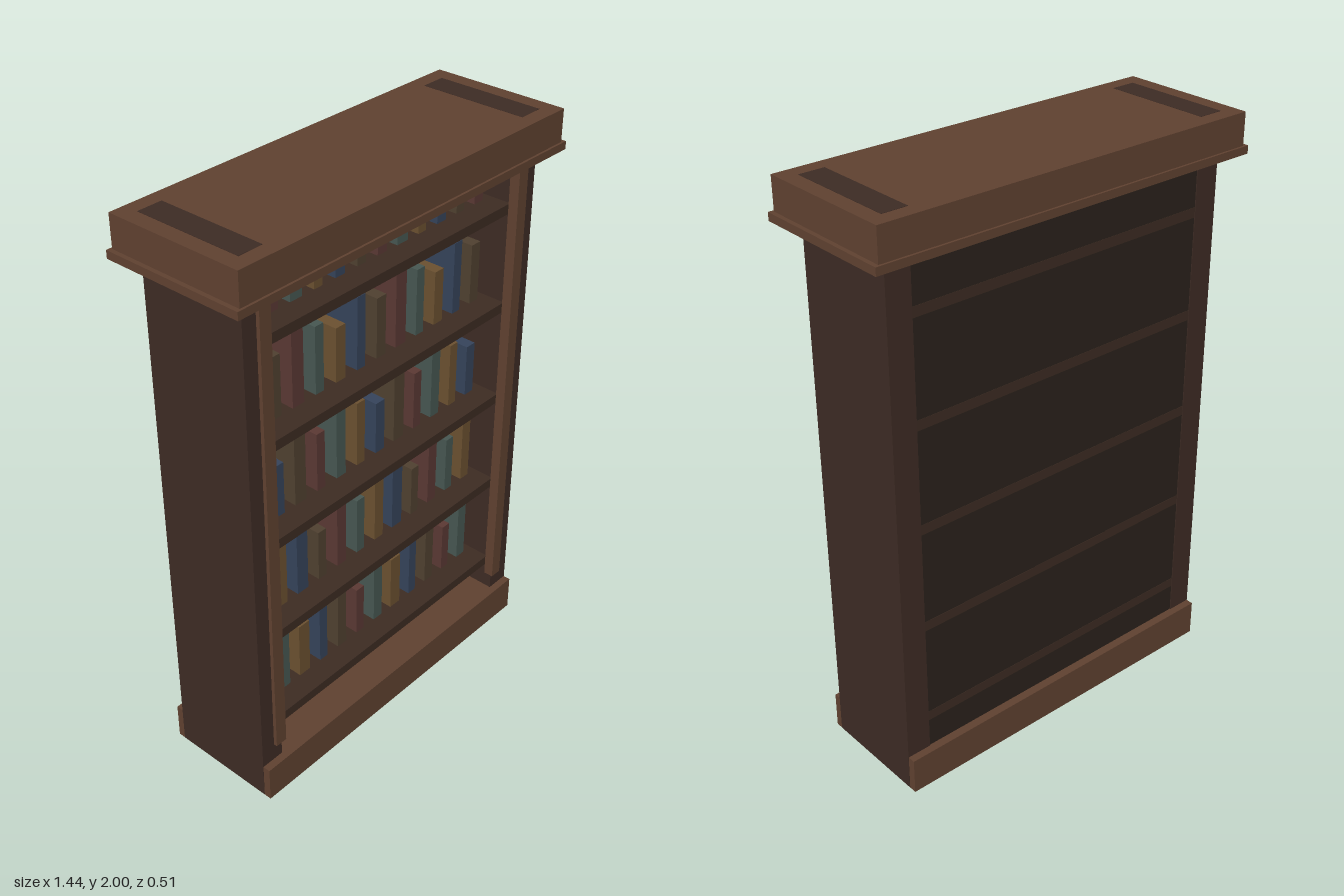
import * as THREE from 'three';

const WOOD = 0x5f4130, DARK = 0x3d2b24, SHELF = 0x3c2b22, BACK = 0x2a211b;
const BOOKS = [0x5a3833, 0x465651, 0x6a5030, 0x35435a, 0x4f4030];

const materials = new Map();
function material(color) {
  if (!materials.has(color)) materials.set(color, new THREE.MeshStandardMaterial({ color }));
  return materials.get(color);
}

// Box given by its extents along each axis
function box(parent, name, color, [x0, x1], [y0, y1], [z0, z1]) {
  const mesh = new THREE.Mesh(new THREE.BoxGeometry(x1 - x0, y1 - y0, z1 - z0), material(color));
  mesh.position.set((x0 + x1) / 2, (y0 + y1) / 2, (z0 + z1) / 2);
  mesh.name = name;
  parent.add(mesh);
}

export function createModel() {
  const model = new THREE.Group();
  model.name = 'bookcase';

  // Base and crown
  box(model, 'plinth', WOOD, [-0.649, 0.649], [0, 0.13], [-0.22, 0.22]);
  box(model, 'corniceMoulding', WOOD, [-0.72, 0.72], [1.863, 1.89], [-0.255, 0.255]);
  box(model, 'cornice', WOOD, [-0.705, 0.705], [1.89, 2], [-0.247, 0.247]);

  // Sides run the full height and show in the cornice top; trim covers their front edge
  for (const [side, s] of [['left', 1], ['right', -1]]) {
    const span = (a, b) => (s > 0 ? [a, b] : [-b, -a]);
    box(model, side + 'SidePanel', DARK, span(0.562, 0.65), [0.001, 2.001], [-0.193, 0.193]);
    box(model, side + 'FrontTrim', WOOD, span(0.553, 0.597), [0.195, 1.87], [0.17, 0.206]);
  }
  box(model, 'backPanel', BACK, [-0.562, 0.562], [0.1, 1.88], [-0.19, -0.165]);

  // Shelves, each with a row of books cycling through colours, heights and widths
  const heights = [0.19, 0.255, 0.213, 0.28, 0.235];
  const widths = [0.037, 0.042, 0.049, 0.036, 0.042];
  for (let row = 0; row < 5; row++) {
    const top = 0.27 + row * 0.359;
    box(model, 'shelf', SHELF, [-0.562, 0.562], [top - 0.035, top], [-0.191, 0.17]);
    const books = new THREE.Group();
    books.name = 'bookRow';
    for (let i = 0; i < 12; i++) {
      const x = -0.524 + i * 0.0932, w = widths[i % 5] / 2;
      box(books, 'book', BOOKS[(i + row) % 5], [x - w, x + w],
        [top, top + heights[(i + 2 * row) % 5]], [-0.13, 0.09]);
    }
    model.add(books);
  }
  return model;
}
